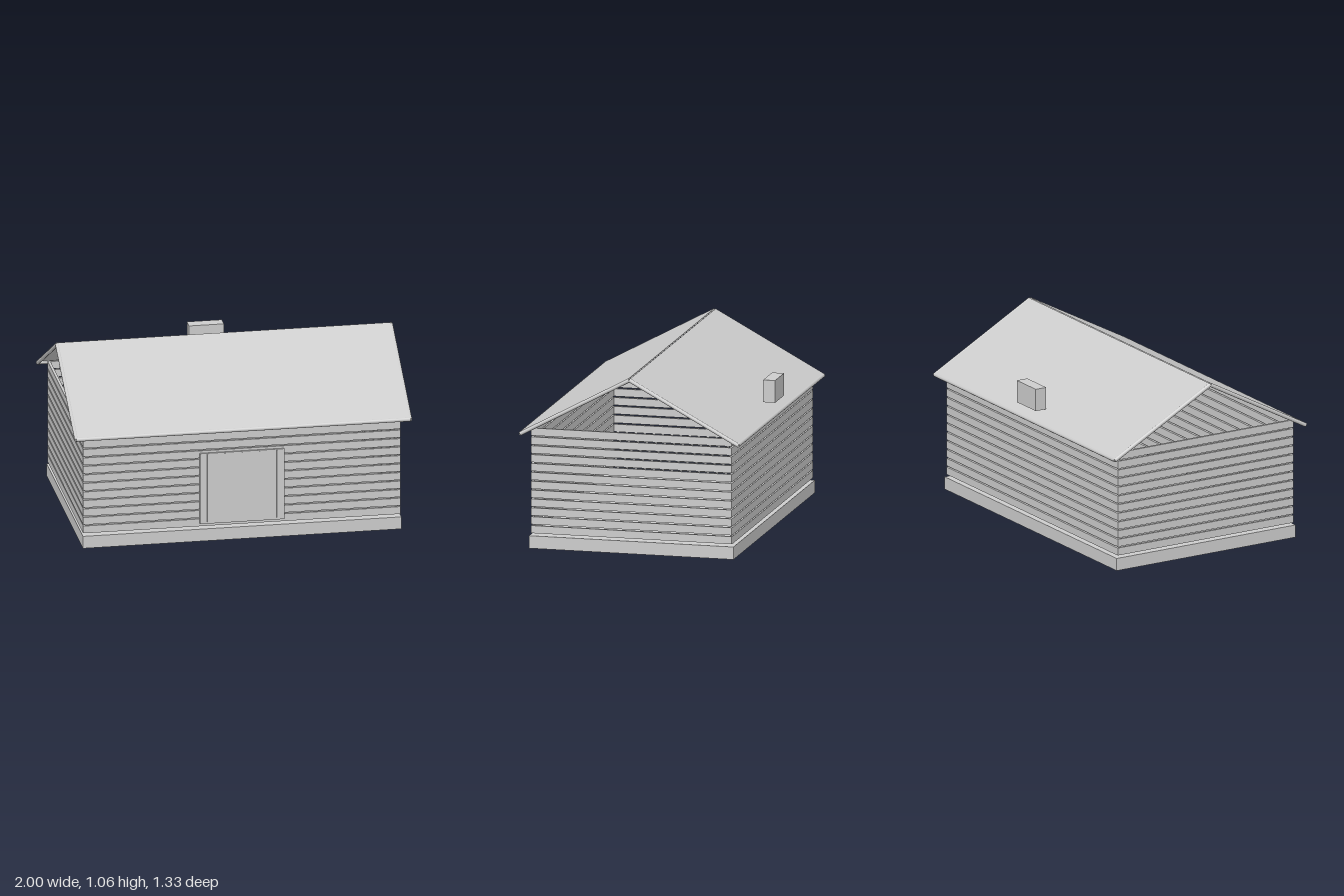
import * as THREE from 'three';

export function createModel() {
  const root = new THREE.Group();
  root.name = 'logCabin';
  const grey = new THREE.MeshStandardMaterial({ color: 0xcccccc });
  grey.name = 'plain grey';

  const add = (parent, name, geometry, x, y, z) => {
    const mesh = new THREE.Mesh(geometry, grey);
    mesh.name = name;
    mesh.position.set(x, y, z);
    parent.add(mesh);
    return mesh;
  };
  const box = (parent, name, w, h, d, x, y, z) =>
    add(parent, name, new THREE.BoxGeometry(w, h, d), x, y, z);

  // Foundation slab
  box(root, 'foundation', 1.888, 0.075, 1.232, 0, 0.0375, 0);

  // Twelve spaced courses of logs on all four sides
  const walls = new THREE.Group();
  walls.name = 'logWalls';
  root.add(walls);
  for (let i = 0; i < 12; i++) {
    const y = 0.113 + i * 0.053;
    for (const s of [1, -1]) {
      box(walls, s > 0 ? 'frontLog' : 'backLog', 1.85, 0.045, 0.016, 0, y, s * 0.599);
      box(walls, s > 0 ? 'leftLog' : 'rightLog', 0.015, 0.045, 1.21, s * 0.9325, y, 0);
    }
  }

  // Wide door with thin upright ribs
  const door = new THREE.Group();
  door.name = 'door';
  root.add(door);
  box(door, 'doorPanel', 0.5, 0.438, 0.012, 0, 0.326, 0.611);
  for (let i = -2; i <= 2; i++) {
    box(door, 'doorRib', 0.004, 0.42, 0.009, i * 0.103, 0.33, 0.6205);
  }

  // Two sloping roof sheets edged with round poles
  const slope = 0.495, length = 0.747, r = 0.012;
  for (const back of [false, true]) {
    const side = new THREE.Group();
    side.name = back ? 'backRoof' : 'frontRoof';
    side.rotation.y = back ? Math.PI : 0;
    const pitch = new THREE.Group();
    pitch.position.y = 1.047;
    pitch.rotation.x = slope;
    side.add(pitch);
    root.add(side);
    box(pitch, 'roofSheet', 1.976, 0.006, length, 0, 0.007, length / 2);
    for (const s of [1, -1]) {
      const rake = add(pitch, 'gablePole', new THREE.CylinderGeometry(r, r, length, 10), s * 0.988, 0, length / 2);
      rake.rotation.x = Math.PI / 2;
    }
    const eave = add(pitch, 'eavePole', new THREE.CylinderGeometry(r, r, 1.98, 10), 0, 0, length - 0.004);
    eave.rotation.z = Math.PI / 2;
  }

  // Chimney block over the back eave
  box(root, 'chimney', 0.208, 0.133, 0.072, -0.003, 0.8265, -0.612);

  return root;
}
